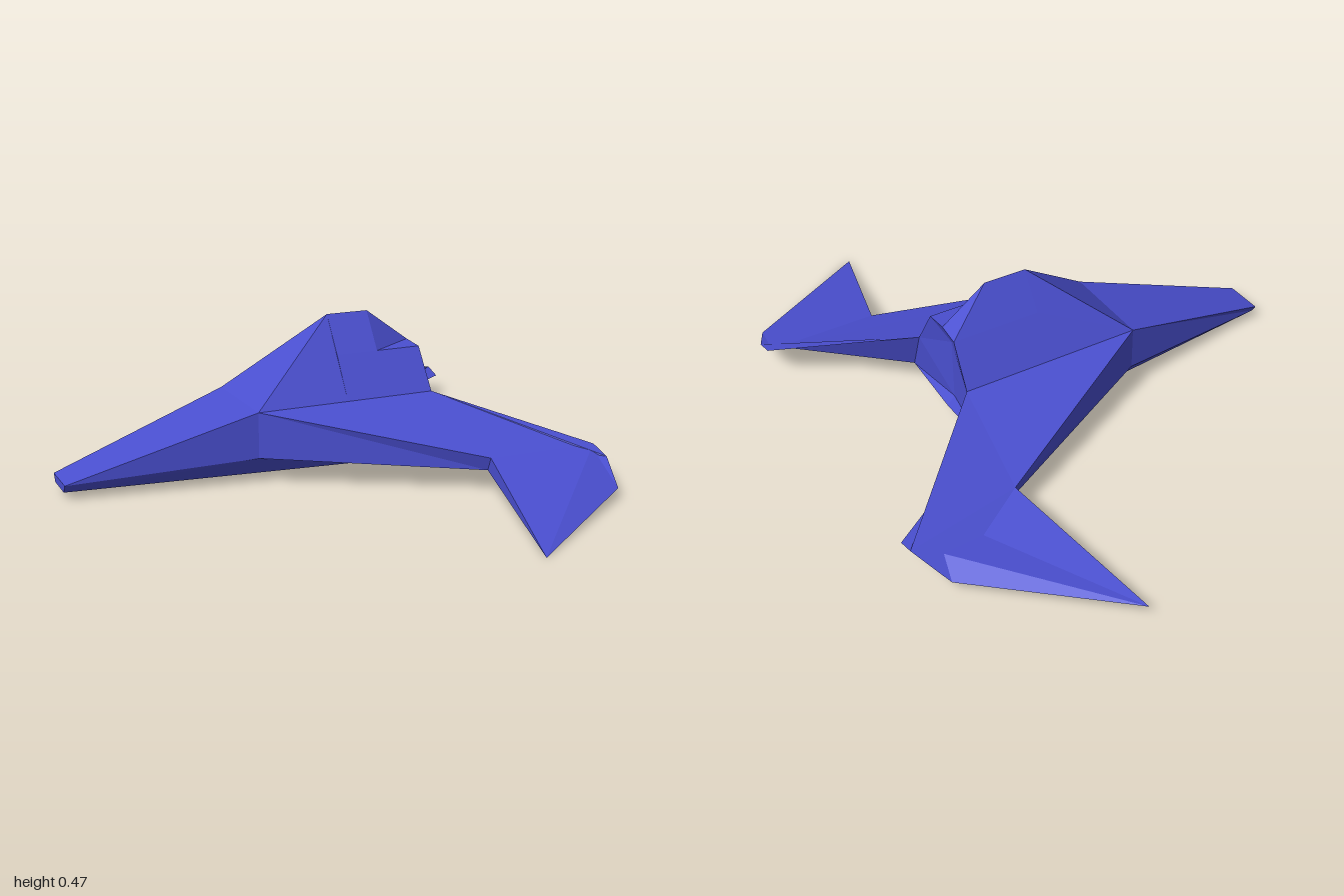
import * as THREE from 'three';

export function createModel() {
  const group = new THREE.Group();
  const paint = new THREE.MeshStandardMaterial({ color: 0x4a4fd0, side: THREE.DoubleSide });
  paint.name = 'blue paint';

  // Flat-faced mesh from convex polygons, optionally mirrored across z
  function addPart(name, polygons, side) {
    const positions = [];
    for (const polygon of polygons) {
      const p = side > 0 ? polygon : [...polygon].reverse();
      for (let i = 1; i < p.length - 1; i++) {
        for (const [x, y, z] of [p[0], p[i], p[i + 1]]) positions.push(x, y, z * side);
      }
    }
    const geometry = new THREE.BufferGeometry();
    geometry.setAttribute('position', new THREE.Float32BufferAttribute(positions, 3));
    geometry.computeVertexNormals();
    const mesh = new THREE.Mesh(geometry, paint);
    mesh.name = name;
    group.add(mesh);
  }

  // Nose corners
  const noseTop = [-0.78, 0.05, 0.065], noseLow = [-0.78, 0.025, 0.05];
  const noseTopMid = [-0.78, 0.05, 0], noseLowMid = [-0.78, 0.025, 0];
  // Shoulder (wing root, leading) and tail (wing root, trailing)
  const shoulder = [-0.2, 0.23, 0.158], shoulderLow = [-0.2, 0.085, 0.158];
  const shoulderMid = [-0.2, 0.23, 0];
  const tail = [0.395, 0.23, 0.158], tailLow = [0.39, 0.085, 0.22];
  // Belly end
  const keel = [0.3, 0.02, 0.16], keelMid = [0.3, 0.013, 0], sill = [0.385, 0.06, 0];
  // Canopy
  const base = [0.1, 0.23, 0.158], ridgeFront = [0.1, 0.475, 0], ridgeRear = [0.24, 0.475, 0];
  const waistFront = [0.1, 0.36, 0.077], waistMid = [0.24, 0.36, 0.077];
  const waistRear = [0.39, 0.36, 0.077], ridgeEnd = [0.388, 0.367, 0];
  // Recessed rear centre line
  const bayTop = [0.36, 0.3, 0], bayLow = [0.36, 0.09, 0];

  const wings = [
    { side: 1, name: 'frontWing', bend: [0.41, 0.108, 0.5], bendLow: [0.41, 0.065, 0.485],
      elbow: [0.78, 0.105, 0.5], elbowLow: [0.78, 0.085, 0.57],
      corner: [0.73, 0.032, 0.7], tip: [0.28, 0, 0.995] },
    { side: -1, name: 'rearWing', bend: [0.41, 0.1, 0.47], bendLow: [0.41, 0.06, 0.46],
      elbow: [0.78, 0.1, 0.54], elbowLow: [0.78, 0.08, 0.48],
      corner: [0.71, 0.035, 0.645], tip: [0.305, 0.043, 1] },
  ];

  for (const { side, name, bend, bendLow, elbow, elbowLow, corner, tip } of wings) {
    // Bent wing: upper skin, leading edge, trailing edge, underside
    addPart(name, [
      [shoulder, bend, elbow, tail],
      [elbow, bend, tip, corner],
      [elbow, corner, elbowLow],
      [shoulder, shoulderLow, bendLow, bend],
      [bend, bendLow, tip],
      [tail, elbow, elbowLow, tailLow],
      [shoulderLow, tailLow, elbowLow, bendLow],
      [bendLow, elbowLow, corner, tip],
    ], side);

    // Hull half: nose, deck, flank, belly and upswept stern
    addPart('hull', [
      [noseTopMid, noseLowMid, noseLow, noseTop],
      [noseTopMid, noseTop, shoulder, shoulderMid],
      [noseTop, noseLow, shoulderLow, shoulder],
      [noseLow, keel, shoulderLow],
      [shoulderLow, keel, tailLow],
      [noseLowMid, keelMid, keel, noseLow],
      [keel, keelMid, sill, tailLow],
    ], side);

    // Canopy half: sloping front, side panels and roof
    addPart('canopy', [
      [shoulderMid, shoulder, ridgeFront],
      [ridgeFront, shoulder, base, waistFront],
      [base, tail, waistRear, waistFront],
      [waistFront, waistMid, ridgeRear, ridgeFront],
      [waistMid, waistRear, ridgeEnd, ridgeRear],
    ], side);

    // Recessed rear face
    addPart('rearBay', [
      [ridgeEnd, waistRear, bayTop],
      [waistRear, tail, bayTop],
      [tail, tailLow, bayLow, bayTop],
      [tailLow, sill, bayLow],
    ].map((p) => [...p].reverse()).map((p) => p.reverse()), side);
  }
  return group;
}
